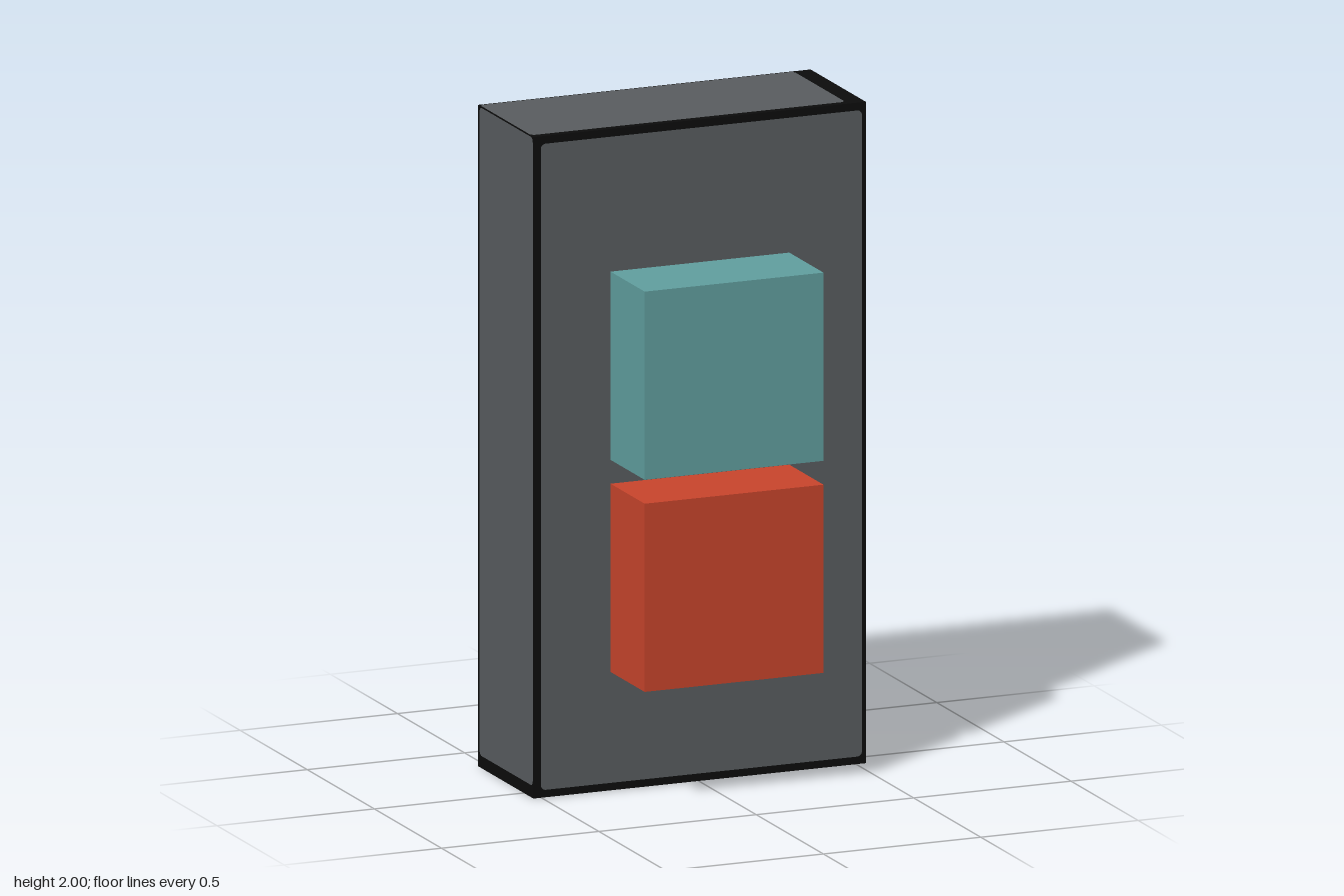
import * as THREE from 'three';

const W = 0.53;                 // half width
const H = 2;                    // height
const BACK = -0.335, FRONT = 0.08;
const LIP = 0.002;              // panels stand this far off the black core

const material = (name, color) => {
  const m = new THREE.MeshStandardMaterial({ color });
  m.name = name;
  return m;
};

// Rectangle with small rounded corners
function roundedRect(x0, y0, x1, y1, r = 0.015) {
  const s = new THREE.Shape();
  s.absarc(x1 - r, y0 + r, r, -Math.PI / 2, 0);
  s.absarc(x1 - r, y1 - r, r, 0, Math.PI / 2);
  s.absarc(x0 + r, y1 - r, r, Math.PI / 2, Math.PI);
  s.absarc(x0 + r, y0 + r, r, Math.PI, Math.PI * 1.5);
  s.closePath();
  return new THREE.ShapeGeometry(s, 4);
}

export function createModel() {
  const group = new THREE.Group();
  group.name = 'switchBox';
  const black = material('black edging', 0x0c0c0c);
  const grey = material('slate grey', 0x595d60);
  const teal = material('teal', 0x61a0a0);
  const red = material('orange red', 0xc9452c);

  const box = (name, mat, x, y0, y1, z0, z1) => {
    const mesh = new THREE.Mesh(new THREE.BoxGeometry(2 * x, y1 - y0, z1 - z0), mat);
    mesh.position.set(0, (y0 + y1) / 2, (z0 + z1) / 2);
    mesh.name = name;
    group.add(mesh);
  };

  // Black core that shows as the worn border around each panel
  box('casingCore', black, W - LIP, LIP, H - LIP, BACK + LIP, FRONT - LIP);

  // Panels: rectangle in the face's own plane, then turned into place
  const panel = (name, rect, rotation, position) => {
    const mesh = new THREE.Mesh(roundedRect(...rect), grey);
    mesh.rotation.set(...rotation);
    mesh.position.set(...position);
    mesh.name = name;
    group.add(mesh);
  };
  const Q = Math.PI / 2;
  panel('frontPanel', [-0.505, 0.025, 0.515, 1.975], [0, 0, 0], [0, 0, FRONT]);
  panel('backPanel', [-0.515, 0.02, 0.508, 1.97], [0, Math.PI, 0], [0, 0, BACK]);
  panel('leftPanel', [-0.062, 0.004, 0.322, 1.96], [0, Q, 0], [W, 0, 0]);
  panel('rightPanel', [-0.318, 0.04, 0.078, 1.996], [0, -Q, 0], [-W, 0, 0]);
  panel('topPanel', [-0.528, -0.062, 0.47, 0.322], [-Q, 0, 0], [0, H, 0]);
  panel('bottomPanel', [-0.47, -0.315, 0.528, 0.075], [Q, 0, 0], [0, 0, 0]);

  // Two push buttons
  box('upperButton', teal, 0.284, 1.0, 1.568, FRONT - 0.01, 0.335);
  box('lowerButton', red, 0.284, 0.36, 0.928, FRONT - 0.01, 0.335);

  return group;
}
